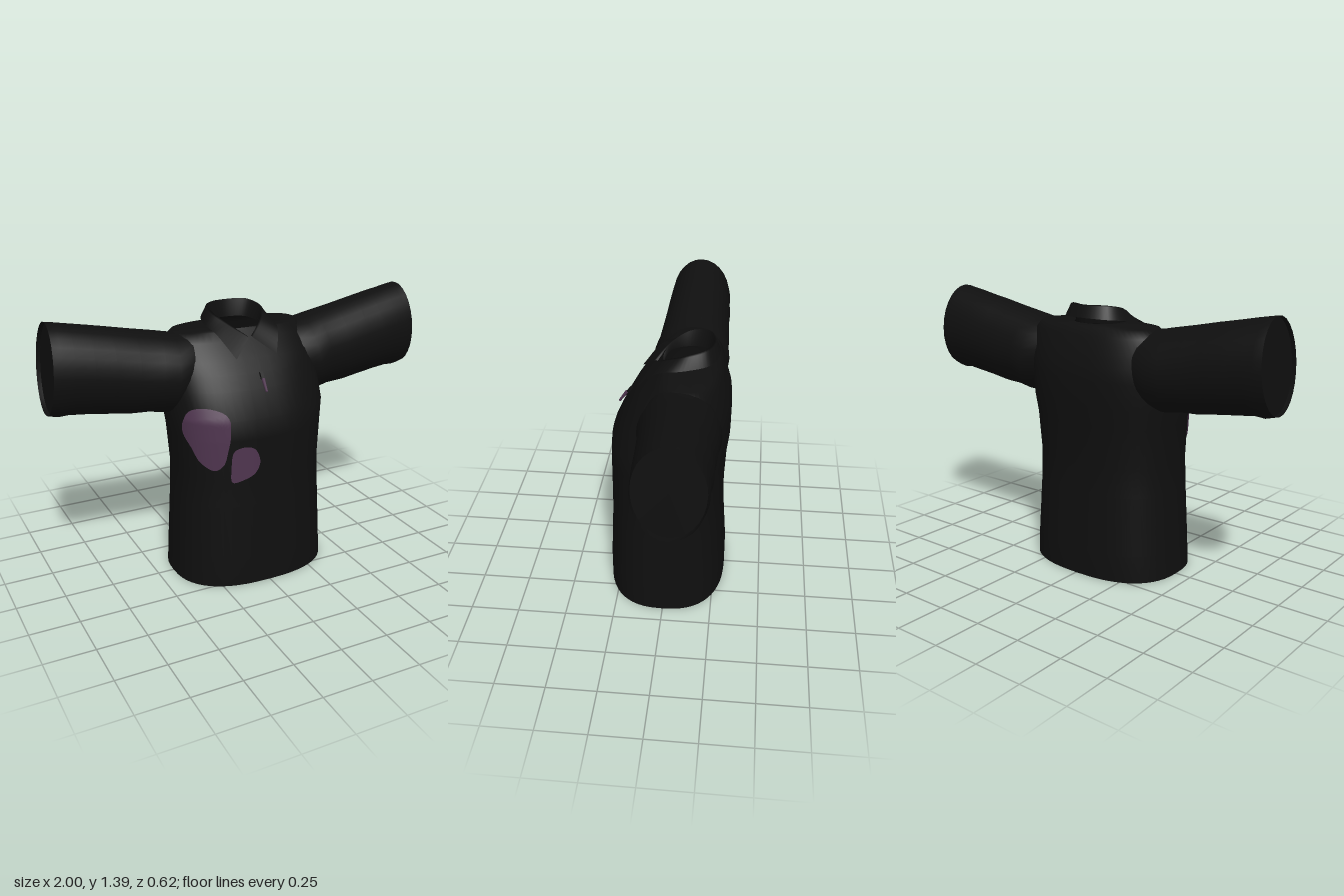
import * as THREE from 'three';

const fabric = new THREE.MeshStandardMaterial({ color: 0x0f0f0f, side: THREE.DoubleSide });
fabric.name = 'black fabric';
const purple = new THREE.MeshStandardMaterial({ color: 0x4e344e, side: THREE.DoubleSide });
purple.name = 'purple print';

const V = (x, y, z) => new THREE.Vector3(x, y, z);

// Skins a list of equally long cross-sections
function loft(rings, closed = true) {
  const n = rings[0].length, pos = [], idx = [];
  rings.forEach(r => r.forEach(p => pos.push(p.x, p.y, p.z)));
  for (let i = 0; i < rings.length - 1; i++)
    for (let j = 0; j < (closed ? n : n - 1); j++) {
      const a = i * n + j, b = i * n + (j + 1) % n;
      idx.push(a, b, a + n, b, b + n, a + n);
    }
  const g = new THREE.BufferGeometry();
  g.setAttribute('position', new THREE.Float32BufferAttribute(pos, 3));
  g.setIndex(idx);
  g.computeVertexNormals();
  return g;
}

function part(name, geometry, material = fabric) {
  const m = new THREE.Mesh(geometry, material);
  m.name = name;
  return m;
}

// Torso levels: y, half width, front z, back z
const levels = [
  [0.01, 0.415, 0.31, -0.305], [0.15, 0.407, 0.31, -0.305], [0.45, 0.392, 0.295, -0.285],
  [0.6, 0.386, 0.293, -0.285], [0.8, 0.4, 0.29, -0.295], [0.9, 0.412, 0.283, -0.308],
  [1.03, 0.41, 0.22, -0.31], [1.1, 0.405, 0.18, -0.305], [1.16, 0.4, 0.14, -0.287],
  [1.24, 0.38, 0.07, -0.265], [1.28, 0.34, 0.035, -0.24], [1.29, 0.125, 0.03, -0.21],
];
const POWER = 2.5;

function torsoGeometry() {
  const n = 56;
  const bend = v => Math.sign(v) * Math.abs(v) ** (2 / POWER);
  return loft(levels.map(([y, hx, zf, zb]) => Array.from({ length: n }, (_, j) => {
    const t = -j / n * Math.PI * 2;
    return V(hx * bend(Math.cos(t)), y, (zf + zb) / 2 + (zf - zb) / 2 * bend(Math.sin(t)));
  })));
}

// Height of the chest surface at x, y
function chestZ(x, y) {
  let i = 0;
  while (i < levels.length - 2 && levels[i + 1][0] < y) i++;
  const a = levels[i], b = levels[i + 1], t = (y - a[0]) / (b[0] - a[0]);
  const [hx, zf, zb] = [1, 2, 3].map(k => a[k] + (b[k] - a[k]) * t);
  const u = Math.min(Math.abs(x) / hx, 0.995);
  return (zf + zb) / 2 + (zf - zb) / 2 * (1 - u ** POWER) ** (1 / POWER);
}

// Sleeve sections: x at top, x at bottom, top y, bottom y, front z, back z
const sleeveSections = [
  [0.28, 0.34, 1.275, 0.9, 0.1, -0.25], [0.36, 0.42, 1.28, 0.885, 0.12, -0.28],
  [0.43, 0.5, 1.295, 0.9, 0.105, -0.272], [0.56, 0.6, 1.32, 0.905, 0.098, -0.268],
  [0.68, 0.7, 1.345, 0.92, 0.09, -0.262], [0.78, 0.81, 1.364, 0.935, 0.085, -0.265],
  [0.87, 0.9, 1.382, 0.945, 0.08, -0.255], [0.93, 0.95, 1.393, 0.942, 0.076, -0.258],
  [0.97, 1.0, 1.4, 0.955, 0.072, -0.25],
];

function sleeveRing([xt, xb, yt, yb, zf, zb], side, scale = 1) {
  return Array.from({ length: 28 }, (_, j) => {
    const a = side * j / 28 * Math.PI * 2, c = Math.cos(a) * scale, s = Math.sin(a) * scale;
    return V(side * ((xt + xb) / 2 + (xt - xb) / 2 * c),
      (yt + yb) / 2 + (yt - yb) / 2 * c, (zf + zb) / 2 + (zf - zb) / 2 * s);
  });
}

function sleeve(side) {
  const g = new THREE.Group();
  g.name = side > 0 ? 'leftSleeve' : 'rightSleeve';
  g.add(part('sleeveTube', loft(sleeveSections.map(s => sleeveRing(s, side)))));
  // Dark lining set just inside the cuff
  const end = sleeveSections.at(-1).slice();
  end[0] -= 0.02;
  end[1] -= 0.02;
  g.add(part('cuffLining', loft([sleeveRing(end, side, 0.985), sleeveRing(end, side, 0.001)])));
  return g;
}

// Collar lines from the front opening to the centre back, mirrored to the other side
function collarLine(half) {
  const pts = half.map(p => V(...p));
  const mirrored = pts.slice(0, -1).reverse().map(p => V(-p.x, p.y, p.z));
  return new THREE.CatmullRomCurve3([...pts, ...mirrored], false, 'centripetal').getPoints(48);
}

function collarGeometry() {
  const base = collarLine([[0.005, 1.235, 0.04], [0.09, 1.27, 0], [0.125, 1.28, -0.09],
    [0.09, 1.29, -0.175], [0, 1.29, -0.207]]);
  const fold = collarLine([[0.01, 1.255, 0.068], [0.09, 1.315, 0], [0.135, 1.36, -0.09],
    [0.105, 1.38, -0.18], [0, 1.38, -0.215]]);
  const roll = fold.map(p => V(p.x * 1.08, p.y - 0.005, -0.09 + (p.z + 0.09) * 1.07));
  const edge = collarLine([[0.11, 1.17, 0.148], [0.168, 1.275, 0.045], [0.178, 1.3, -0.08],
    [0.135, 1.315, -0.205], [0, 1.32, -0.245]]);
  return loft([base, fold, roll, edge], false);
}

// Flat print following the chest
function printGeometry(outline) {
  const curve = new THREE.CatmullRomCurve3(outline.map(([x, y]) => V(x, y, 0)), true);
  const rim = curve.getPoints(48).slice(0, 48);
  const mid = rim.reduce((s, p) => s.add(p), V(0, 0, 0)).divideScalar(rim.length);
  const rings = [];
  for (let k = 10; k >= 0; k--)
    rings.push(rim.map(p => {
      const q = mid.clone().lerp(p, Math.max(k / 10, 0.001));
      return V(q.x * 1.01, q.y, chestZ(q.x, q.y) + 0.006);
    }));
  return loft(rings);
}

export function createModel() {
  const shirt = new THREE.Group();
  shirt.name = 'shirt';
  shirt.add(part('torso', torsoGeometry()), sleeve(1), sleeve(-1), part('collar', collarGeometry()));

  shirt.add(part('largePrint', printGeometry([[-0.3, 0.965], [-0.36, 0.95], [-0.386, 0.9],
    [-0.386, 0.83], [-0.36, 0.76], [-0.33, 0.69], [-0.275, 0.652], [-0.235, 0.68],
    [-0.215, 0.75], [-0.2, 0.84], [-0.21, 0.93]]), purple));
  shirt.add(part('smallPrint', printGeometry([[-0.185, 0.75], [-0.13, 0.768], [-0.08, 0.75],
    [-0.055, 0.68], [-0.08, 0.625], [-0.14, 0.595], [-0.195, 0.587], [-0.2, 0.66]]), purple));

  // Front fastening: narrow strip down from the collar, slider and pull tab
  const strip = [1.23, 1.16, 1.1, 1.06].map(y => [-0.008, 0.008].map(x => V(x, y, chestZ(x, y) + 0.005)));
  shirt.add(part('frontStrip', loft(strip, false)));
  const slider = part('slider', new THREE.BoxGeometry(0.016, 0.035, 0.012));
  slider.position.set(0, 1.09, 0.2);
  const tab = part('pullTab', new THREE.CylinderGeometry(0.009, 0.006, 0.068, 8), purple);
  tab.position.set(0, 1.05, 0.234);
  for (const m of [slider, tab]) m.rotation.x = -0.62;
  shirt.add(slider, tab);
  return shirt;
}
